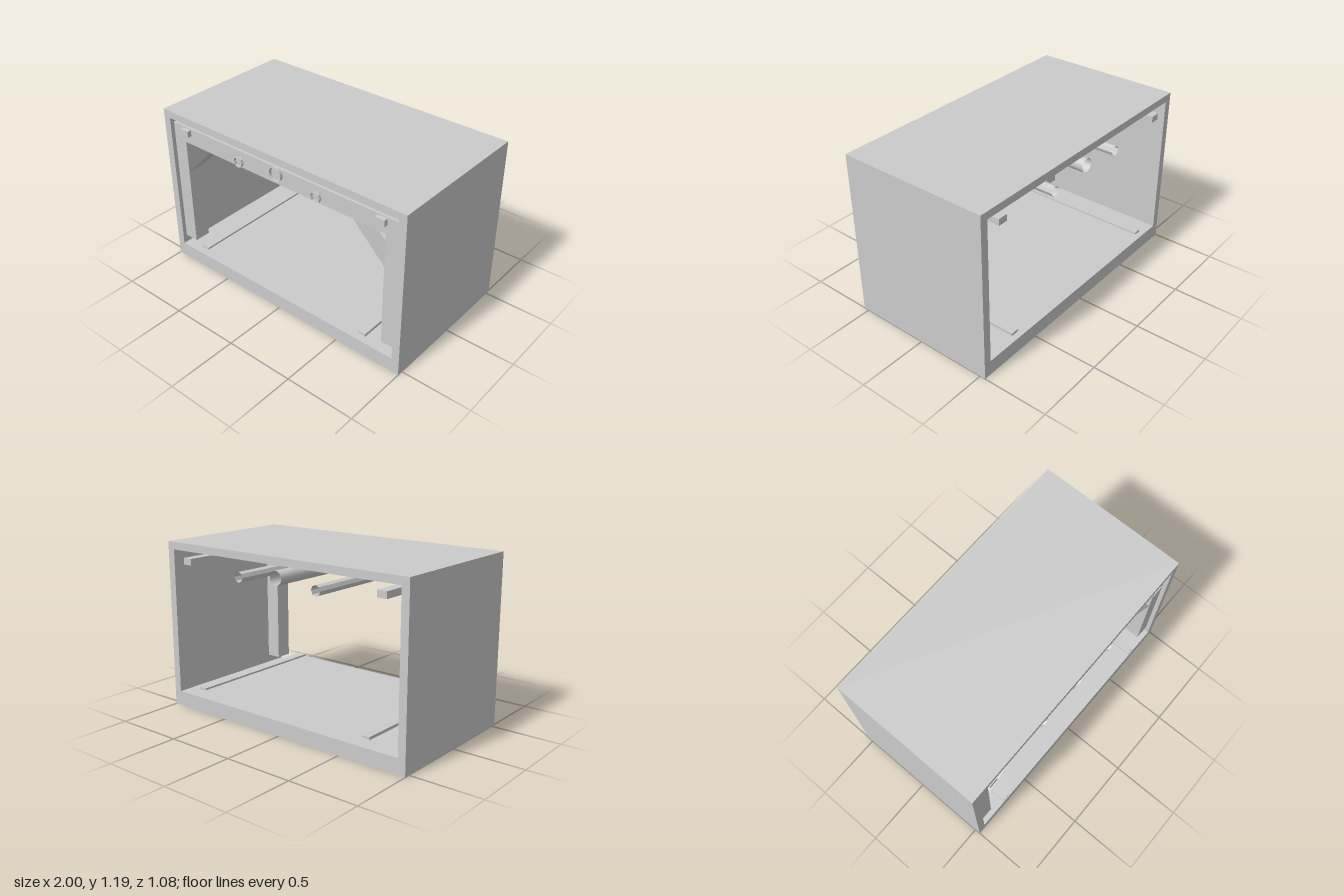
import * as THREE from 'three';

const DEPTH = 1.08;
const HALF = DEPTH / 2;

const solid = () => new THREE.MeshStandardMaterial({ color: 0xcccccc, flatShading: true });
const thin = (flat = true) =>
  new THREE.MeshStandardMaterial({ color: 0xcccccc, flatShading: flat, side: THREE.DoubleSide });

const points = (list) => list.map(([x, y]) => new THREE.Vector2(x, y));

// Extrudes an x-y outline from z0 to z1
function extrude(outline, z0, z1, hole) {
  const shape = new THREE.Shape(points(outline));
  if (hole) shape.holes.push(new THREE.Path(points(hole)));
  const geometry = new THREE.ExtrudeGeometry(shape, { depth: z1 - z0, bevelEnabled: false });
  return geometry.translate(0, 0, z0);
}

const rect = (x0, y0, x1, y1) => [[x0, y0], [x1, y0], [x1, y1], [x0, y1]];

export function createModel() {
  const model = new THREE.Group();
  const add = (name, geometry, material = solid()) => {
    const mesh = new THREE.Mesh(geometry, material);
    mesh.name = name;
    model.add(mesh);
    return mesh;
  };

  // Outer box, open at front and back
  add('shell', extrude(rect(-1, 0, 1, 1.19), -HALF, HALF, rect(-0.945, 0.107, 0.945, 1.138)));

  // Portal: two posts joined by a beam
  const frontZ = 0.51, backZ = 0.39;
  add('portalFrame', extrude([
    [-0.946, 0.165], [-0.838, 0.165], [-0.838, 0.98], [0.838, 0.98],
    [0.838, 0.165], [0.946, 0.165], [0.946, 1.098], [-0.946, 1.098],
  ], backZ, frontZ));

  // Thin deck between the floor rails
  const deck = new THREE.PlaneGeometry(1.38, DEPTH).rotateX(-Math.PI / 2).translate(0, 0.167, 0);
  add('deck', deck, thin());

  for (const [side, s] of [['left', 1], ['right', -1]]) {
    // Thin corner brace at 45 degrees between post and beam
    const span = 0.235;
    const brace = new THREE.PlaneGeometry(span * Math.SQRT2, frontZ - backZ)
      .rotateX(-Math.PI / 2)
      .rotateZ(-s * Math.PI / 4)
      .translate(s * (0.838 - span / 2), 0.98 - span / 2, (frontZ + backZ) / 2);
    add(side + 'Brace', brace, thin());

    // Ceiling rail through the beam
    add(side + 'CeilingRail', new THREE.BoxGeometry(0.07, 0.045, DEPTH).translate(s * 0.813, 1.067, 0));

    // Floor rail with a slightly sloping underside
    const outline = [[0.68, 0.171], [0.738, 0.164], [0.738, 0.184], [0.68, 0.184]]
      .map(([x, y]) => [s * x, y]);
    add(side + 'FloorRail', extrude(outline, -HALF, HALF));

    // Slim open tube
    const tube = new THREE.CylinderGeometry(0.036, 0.036, DEPTH - 0.01, 8, 1, true)
      .rotateX(Math.PI / 2).translate(s * 0.325, 1.02, -0.005);
    add(side + 'Tube', tube, thin());
  }

  // Wide open tube in the middle
  const centre = new THREE.CylinderGeometry(0.048, 0.048, DEPTH - 0.01, 20, 1, true)
    .rotateX(Math.PI / 2).translate(0, 1.055, -0.005);
  add('centreTube', centre, thin(false));

  return model;
}
